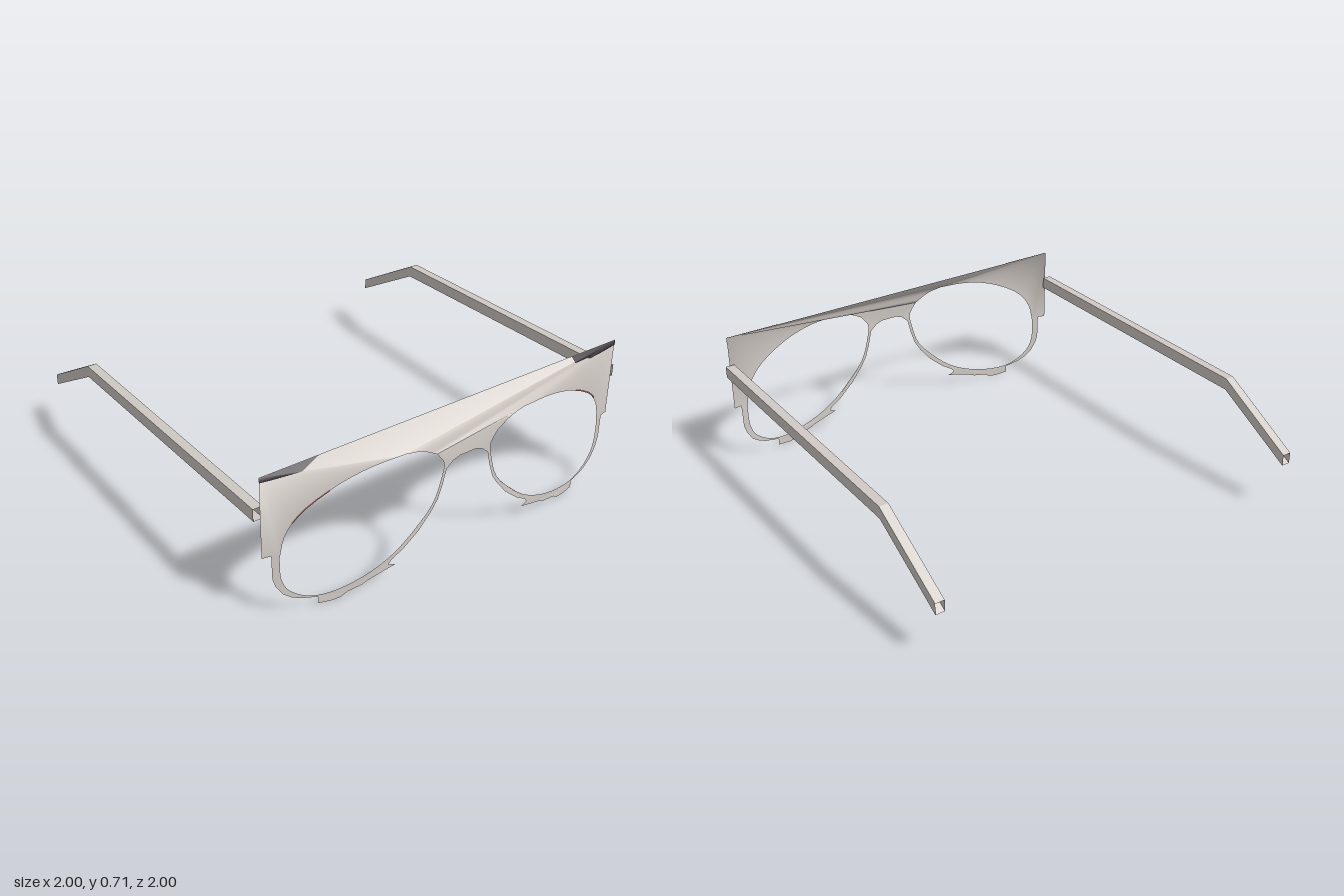
import * as THREE from 'three';

const frameMat = new THREE.MeshStandardMaterial({ color: 0xd0c9c4, side: THREE.DoubleSide, name: 'warm grey' });
const darkMat = new THREE.MeshStandardMaterial({ color: 0x2a2129, side: THREE.DoubleSide, name: 'dark plum' });
const brownMat = new THREE.MeshStandardMaterial({ color: 0x8a5a4a, side: THREE.DoubleSide, name: 'brown' });

const TOP = 0.71, HALF = 0.975;

// The front wraps around the face: depth falls off with distance from the nose
const bend = (x) => 1 - 0.11 * (x / HALF) ** 2;
const mirror = (pts) => pts.map(([x, y]) => [-x, y]);

function smooth(pts, n) {
  const curve = new THREE.CatmullRomCurve3(pts.map(([x, y]) => new THREE.Vector3(x, y, 0)));
  return curve.getPoints(n).map((p) => [p.x, p.y]);
}

function mesh(name, geo, mat) {
  const m = new THREE.Mesh(geo, mat);
  m.name = name;
  return m;
}

// Flat outline bent onto the curved front
function bentSheet(pts, offset = 0) {
  const geo = new THREE.ShapeGeometry(new THREE.Shape(pts.map(([x, y]) => new THREE.Vector2(x, y))));
  const p = geo.attributes.position;
  for (let i = 0; i < p.count; i++) p.setZ(i, bend(p.getX(i)) + offset);
  geo.computeVertexNormals();
  return geo;
}

// Triangles from one corner to a chain of 3D points, turned to face the front
function fan(corner, chain) {
  const geo = new THREE.BufferGeometry();
  geo.setAttribute('position', new THREE.Float32BufferAttribute([corner, ...chain].flat(), 3));
  const index = [];
  for (let i = 1; i < chain.length; i++) {
    const [a, b] = [chain[i - 1], chain[i]];
    const cross = (a[0] - corner[0]) * (b[1] - corner[1]) - (a[1] - corner[1]) * (b[0] - corner[0]);
    index.push(...(cross > 0 ? [0, i, i + 1] : [0, i + 1, i]));
  }
  geo.setIndex(index);
  geo.computeVertexNormals();
  return geo;
}

// Square hollow arm, swept through stations of [z, bottom, top]
function templeGeometry(side) {
  const stations = [[0.88, 0.507, 0.565], [-0.59, 0.477, 0.535], [-1, 0.245, 0.3]];
  const pos = [], index = [];
  for (const [z, lo, hi] of stations) {
    for (const [x, y] of [[0.955, lo], [1, lo], [1, hi], [0.955, hi]]) pos.push(side * x, y, z);
  }
  for (let s = 0; s < stations.length - 1; s++) {
    for (let k = 0; k < 4; k++) {
      const a = s * 4 + k, b = s * 4 + (k + 1) % 4, c = a + 4, d = b + 4;
      index.push(...(side > 0 ? [a, c, b, b, c, d] : [a, b, c, b, d, c]));
    }
  }
  let geo = new THREE.BufferGeometry();
  geo.setAttribute('position', new THREE.Float32BufferAttribute(pos, 3));
  geo.setIndex(index);
  geo = geo.toNonIndexed();
  geo.computeVertexNormals();
  return geo;
}

export function createModel() {
  const group = new THREE.Group();

  // Lens opening in three runs: outer top, inner top, and the lower loop
  const outerTop = smooth([[0.9, 0.3], [0.875, 0.405], [0.81, 0.49], [0.65, 0.577], [0.49, 0.617], [0.33, 0.625]], 16);
  const innerTop = smooth([[0.33, 0.625], [0.25, 0.61], [0.17, 0.57]], 6);
  const lower = smooth([[0.17, 0.57], [0.13, 0.51], [0.138, 0.45], [0.18, 0.325], [0.275, 0.22], [0.38, 0.135],
    [0.515, 0.075], [0.675, 0.048], [0.78, 0.065], [0.865, 0.125], [0.895, 0.19], [0.9, 0.3]], 36);

  // Outside edge of the rim, with the small tab and spur below
  const rimEdge = [[0.935, 0.32], [0.933, 0.2], [0.92, 0.16], [0.89, 0.11], [0.85, 0.08], [0.81, 0.062],
    [0.735, 0.043], [0.735, 0.008], [0.67, 0], [0.63, 0.003], [0.6, 0.02], [0.53, 0.03], [0.5, 0.043],
    [0.44, 0.058], [0.365, 0.075], [0.4, 0.088], [0.385, 0.108], [0.33, 0.14], [0.25, 0.208], [0.19, 0.28],
    [0.155, 0.335], [0.133, 0.4], [0.115, 0.475], [0.08, 0.505]];
  const rim = [...lower, ...rimEdge];
  group.add(mesh('leftRim', bentSheet(rim), frameMat));
  group.add(mesh('rightRim', bentSheet(mirror(rim)), frameMat));

  // Nose bridge between the lens openings
  group.add(mesh('bridge', bentSheet([[-0.17, 0.57], ...innerTop, [0.08, 0.505], [0.045, 0.518],
    [-0.045, 0.518], [-0.08, 0.505]]), frameMat));

  // Brow: broad facets run from the set-back straight top edge to the curved rims
  const z0 = bend(HALF);
  const on = ([x, y]) => [x, y, bend(x)];
  const side = [[HALF, 0.32], [0.935, 0.32], ...outerTop];
  const leftCorner = [HALF, TOP, z0], rightCorner = [-HALF, TOP, z0];
  const leftChain = [...mirror(innerTop), ...side.slice().reverse()].map(on);
  const rightChain = [...mirror(side).map(on), leftCorner];
  group.add(mesh('leftBrow', fan(leftCorner, leftChain), frameMat));
  group.add(mesh('rightBrow', fan(rightCorner, rightChain), frameMat));

  // Dark corner plates lying on the brow facets
  function cornerPlate(corner, chain) {
    const pts = chain.map((p) => {
      const dx = Math.abs(p[0] - corner[0]), dy = Math.abs(p[1] - corner[1]);
      const t = Math.min(0.28 / Math.max(dx, 1e-6), 0.024 / Math.max(dy, 1e-6));
      return p.map((v, i) => corner[i] + (v - corner[i]) * t + (i === 2 ? 0.003 : 0));
    });
    return fan([corner[0], corner[1], corner[2] + 0.003], pts);
  }
  group.add(mesh('leftCornerPlate', cornerPlate(leftCorner, [rightCorner, ...leftChain]), darkMat));
  group.add(mesh('rightCornerPlate', cornerPlate(rightCorner, rightChain), darkMat));

  // Fine brown trim on the upper outer edge of each opening
  const run = outerTop.slice(5, 10);
  const trim = [...run, ...run.map(([x, y]) => [x + 0.004, y + 0.006]).reverse()];
  group.add(mesh('leftTrim', bentSheet(trim, 0.003), brownMat));
  group.add(mesh('rightTrim', bentSheet(mirror(trim), 0.003), brownMat));

  // Temple arms
  group.add(mesh('leftTemple', templeGeometry(1), frameMat));
  group.add(mesh('rightTemple', templeGeometry(-1), frameMat));
  return group;
}
